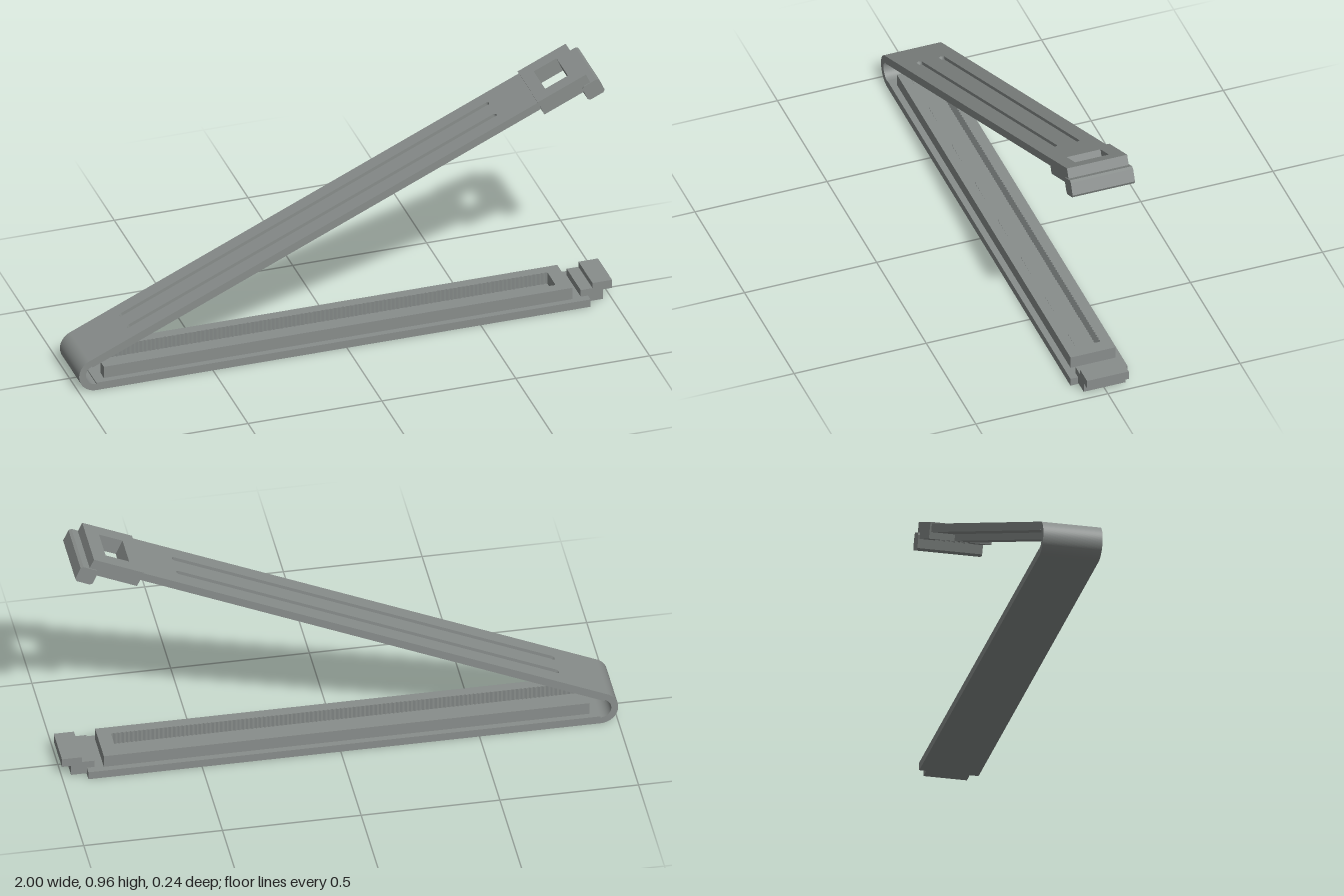
import * as THREE from 'three';

export function createModel() {
  const model = new THREE.Group();
  model.name = 'bagClip';
  const grey = new THREE.MeshStandardMaterial({ color: 0x888d8b });
  grey.name = 'grey plastic';

  const add = (parent, name, geo) => {
    const mesh = new THREE.Mesh(geo, grey);
    mesh.name = name;
    parent.add(mesh);
    return mesh;
  };
  const box = (parent, name, x0, x1, y0, y1, halfZ) => {
    const g = new THREE.BoxGeometry(x1 - x0, y1 - y0, 2 * halfZ);
    return add(parent, name, g.translate((x0 + x1) / 2, (y0 + y1) / 2, 0));
  };
  const toShape = (pts) => new THREE.Shape(pts.map(([x, y]) => new THREE.Vector2(x, y)));
  // side profile in x/y, extruded across the width
  const prism = (shape, halfZ) =>
    new THREE.ExtrudeGeometry(shape, { depth: 2 * halfZ, bevelEnabled: false, curveSegments: 32 })
      .translate(0, 0, -halfZ);
  // plan outline in x/z, extruded upwards from y0 to y1
  const slab = (shape, y0, y1) =>
    new THREE.ExtrudeGeometry(shape, { depth: y1 - y0, bevelEnabled: false, curveSegments: 8 })
      .rotateX(-Math.PI / 2).translate(0, y0, 0);
  const rect = (x0, x1, h) => [[x0, -h], [x1, -h], [x1, h], [x0, h]];

  const R = 0.064, cx = -0.936, angle = 0.422, width = 0.108;

  // Curved hinge joining the two arms
  const bend = new THREE.Shape();
  bend.absarc(cx, R, R, Math.PI / 2 + angle, Math.PI * 1.5, false);
  bend.absarc(cx, R, R - 0.025, Math.PI * 1.5, Math.PI / 2 + angle, true);
  add(model, 'hinge', prism(bend, width));

  // Lower arm with its toothed channel
  const lower = new THREE.Group();
  lower.name = 'lowerArm';
  model.add(lower);
  box(lower, 'lowerStrip', cx, 0.91, 0, 0.03, width);
  const channel = [[-0.9, 0.085], [-0.9, 0.044]];
  const teeth = 110, x0 = -0.9, x1 = 0.8;
  const inner = [];
  for (let i = 1; i <= teeth * 2; i++) {
    inner.push([x0 + (x1 - x0) * i / (teeth * 2), i % 2 ? 0.048 : 0.044]);
  }
  channel.push(...inner, ...inner.slice().reverse().map(([x, z]) => [x, -z]));
  channel.push([-0.9, -0.044], [-0.9, -0.085], [0.85, -0.085], [0.85, 0.085]);
  add(lower, 'channelRails', slab(toShape(channel), 0.03, 0.076));

  // Stepped latch at the end of the lower arm
  add(lower, 'latch', prism(toShape([
    [0.883, 0.029], [0.905, 0.029], [0.905, 0.006], [0.967, 0.006], [0.967, 0.045],
    [1.0, 0.045], [1.0, 0.078], [0.927, 0.078], [0.927, 0.057], [0.883, 0.057],
  ]), 0.079));

  // Upper arm, built flat around the hinge axis then tilted
  const upper = new THREE.Group();
  upper.name = 'upperArm';
  upper.position.set(cx, R, 0);
  upper.rotation.z = angle;
  model.add(upper);
  box(upper, 'upperStrip', 0, 1.85, 0.034, 0.052, width);
  const face = toShape(rect(0, 1.85, width));
  for (const z of [-0.042, 0.042]) {
    const slot = new THREE.Path();
    slot.absarc(1.68, z, 0.011, -Math.PI / 2, Math.PI / 2, false);
    slot.absarc(0.19, z, 0.011, Math.PI / 2, Math.PI * 1.5, false);
    slot.closePath();
    face.holes.push(slot);
  }
  add(upper, 'groovedFace', slab(face, 0.052, R));
  box(upper, 'sealingRib', 0.07, 1.79, 0.01, 0.034, 0.031);

  // Head with a window, and the gripping bar at its end
  const head = toShape(rect(1.837, 2.034, 0.114));
  head.holes.push(new THREE.Path(rect(1.885, 1.978, 0.064).map(([x, y]) => new THREE.Vector2(x, y))));
  add(upper, 'head', slab(head, 0.01, 0.07));
  const b = 0.008;
  add(upper, 'gripBar', prism(toShape([
    [1.998 + b, -0.031], [2.067 - b, -0.031], [2.067, -0.031 + b], [2.067, 0.032 - b],
    [2.067 - b, 0.032], [1.998 + b, 0.032], [1.998, 0.032 - b], [1.998, -0.031 + b],
  ]), 0.118));

  return model;
}
